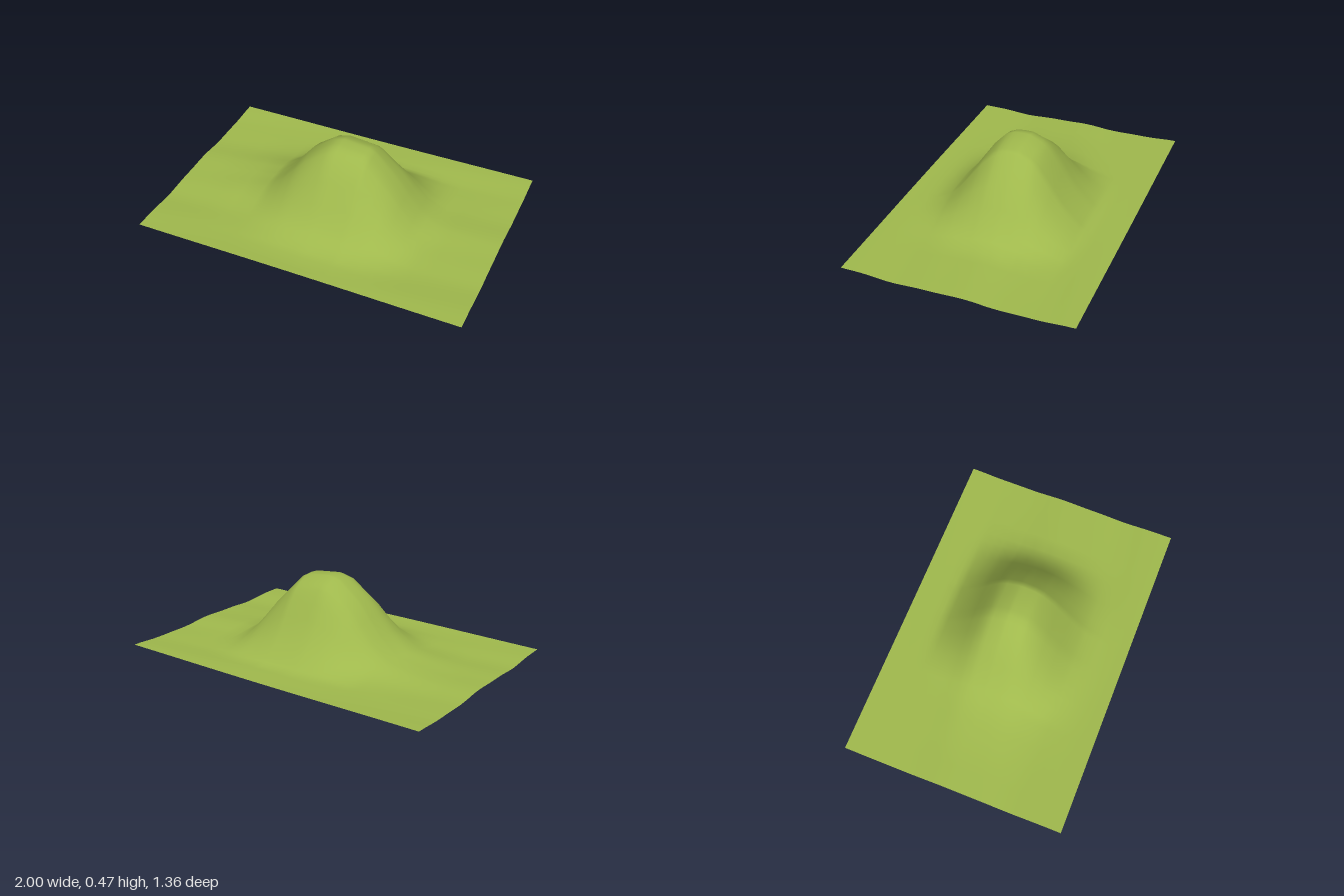
import * as THREE from 'three';

// Hill height along x (at z = 0) and relative height along z (at the peak), as [position, value]
const ridge = [[-1, 0], [-0.72, 0.008], [-0.46, 0.052], [-0.34, 0.155], [-0.19, 0.34], [-0.06, 0.441], [0.01, 0.46],
  [0.17, 0.441], [0.21, 0.418], [0.34, 0.283], [0.49, 0.085], [0.61, 0.013], [0.8, 0.005], [1, 0]];
const across = [[-0.68, 0], [-0.58, 0], [-0.48, 0.012], [-0.42, 0.09], [-0.3, 0.385], [-0.2, 0.72], [-0.15, 0.865],
  [-0.11, 0.935], [-0.04, 1], [0, 1], [0.06, 0.985], [0.11, 0.94], [0.18, 0.79], [0.25, 0.575], [0.33, 0.32],
  [0.4, 0.15], [0.5, 0.035], [0.6, 0], [0.68, 0]];

// Gentle ripples of the ground
const ripple = (x, z) => 0.012 + 0.006 * Math.cos(z * 9.2) + 0.002 * Math.sin(z * 21 + x * 3);

export function createModel() {
  const group = new THREE.Group();

  // Each profile span is split once so the slopes shade softly
  const refine = (pts) => pts.flatMap(([p, v], i) => {
    if (i === pts.length - 1) return [[p, v]];
    const [q, w] = pts[i + 1];
    return [[p, v], [(p + q) / 2, (v + w) / 2]];
  });
  const columns = refine(ridge), rows = refine(across);

  // Height field: the ridge profile scaled by the cross profile
  const geometry = new THREE.PlaneGeometry(2, 1.36, columns.length - 1, rows.length - 1);
  const position = geometry.attributes.position;
  rows.forEach(([z, b], j) => columns.forEach(([x, a], i) => {
    position.setXYZ(j * columns.length + i, x, Math.max(0, ripple(x, z)) + a * b, z);
  }));
  geometry.computeVertexNormals();

  const hill = new THREE.Mesh(geometry, new THREE.MeshStandardMaterial({ color: 0x9fb84c, side: THREE.DoubleSide }));
  hill.name = 'grassyHill';
  group.add(hill);
  return group;
}
